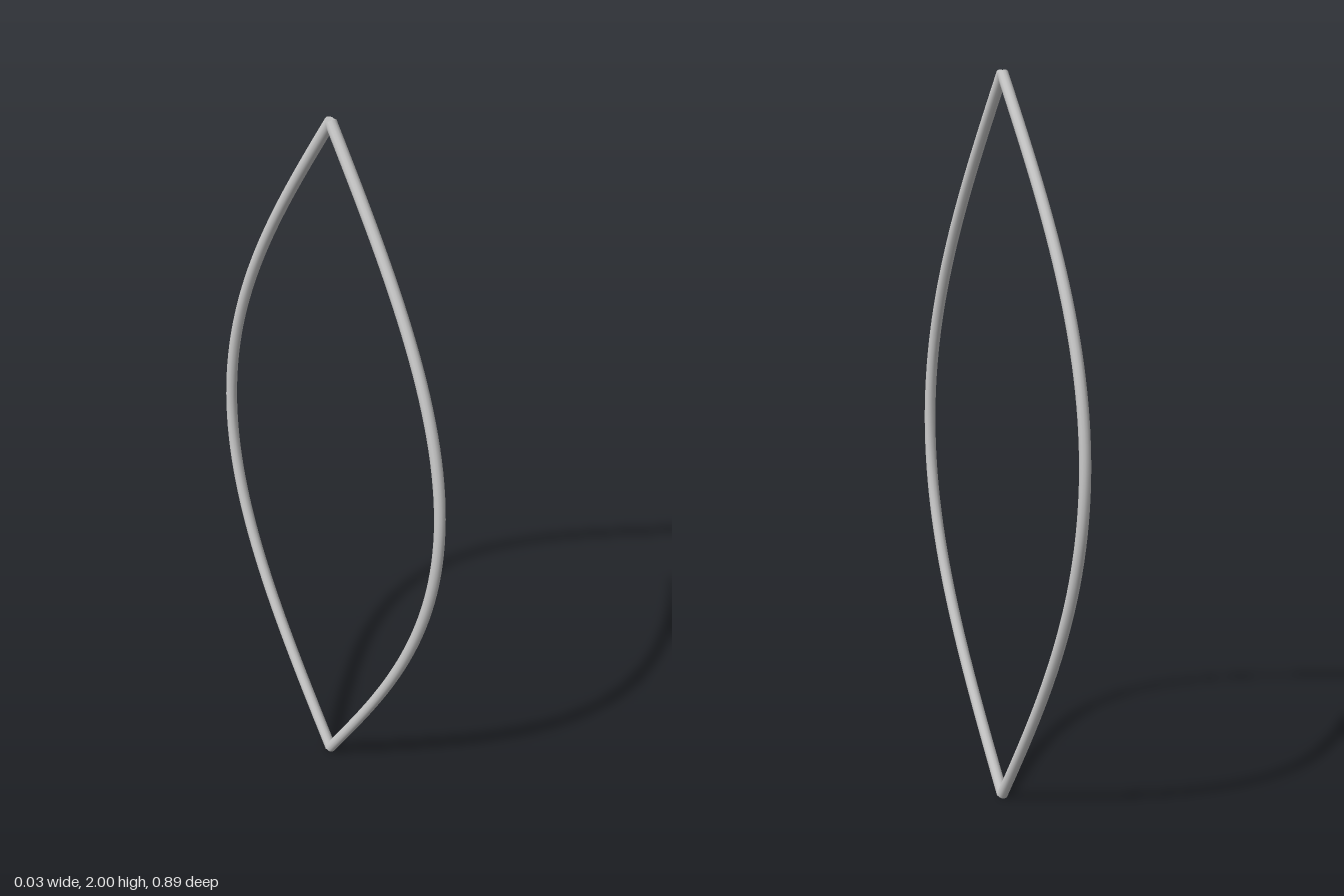
import * as THREE from 'three';

const RADIUS = 0.0155; // rod thickness
const BULGE = 0.428;   // how far each rod bows out
const TIP = 0.0087;    // height of the rod ends' centres above the ground

// Half sine wave from the bottom tip to the top tip, in the plane x = 0
class BowCurve extends THREE.Curve {
  constructor(side) {
    super();
    this.side = side;
  }
  getPoint(t, target = new THREE.Vector3()) {
    return target.set(0, THREE.MathUtils.lerp(TIP, 2 - TIP, t), this.side * BULGE * Math.sin(Math.PI * t));
  }
}

export function createModel() {
  const model = new THREE.Group();
  const material = new THREE.MeshStandardMaterial({ color: 0xcccccc });

  for (const [name, side] of [['frontRod', 1], ['backRod', -1]]) {
    const rod = new THREE.Group();
    rod.name = name;
    const curve = new BowCurve(side);

    // Bowed rod
    const bow = new THREE.Mesh(new THREE.TubeGeometry(curve, 64, RADIUS, 12, false), material);
    bow.name = name + 'Bow';
    rod.add(bow);

    // Flat caps, square to the rod at both tips
    for (const t of [0, 1]) {
      const cap = new THREE.Mesh(new THREE.CircleGeometry(RADIUS, 12), material);
      cap.name = name + (t ? 'TopCap' : 'BottomCap');
      const outward = new THREE.Vector3(0, t ? 1 : -1, -side * BULGE * Math.PI / (2 - 2 * TIP)).normalize();
      cap.quaternion.setFromUnitVectors(new THREE.Vector3(0, 0, 1), outward);
      cap.position.copy(curve.getPoint(t));
      rod.add(cap);
    }
    model.add(rod);
  }
  return model;
}
